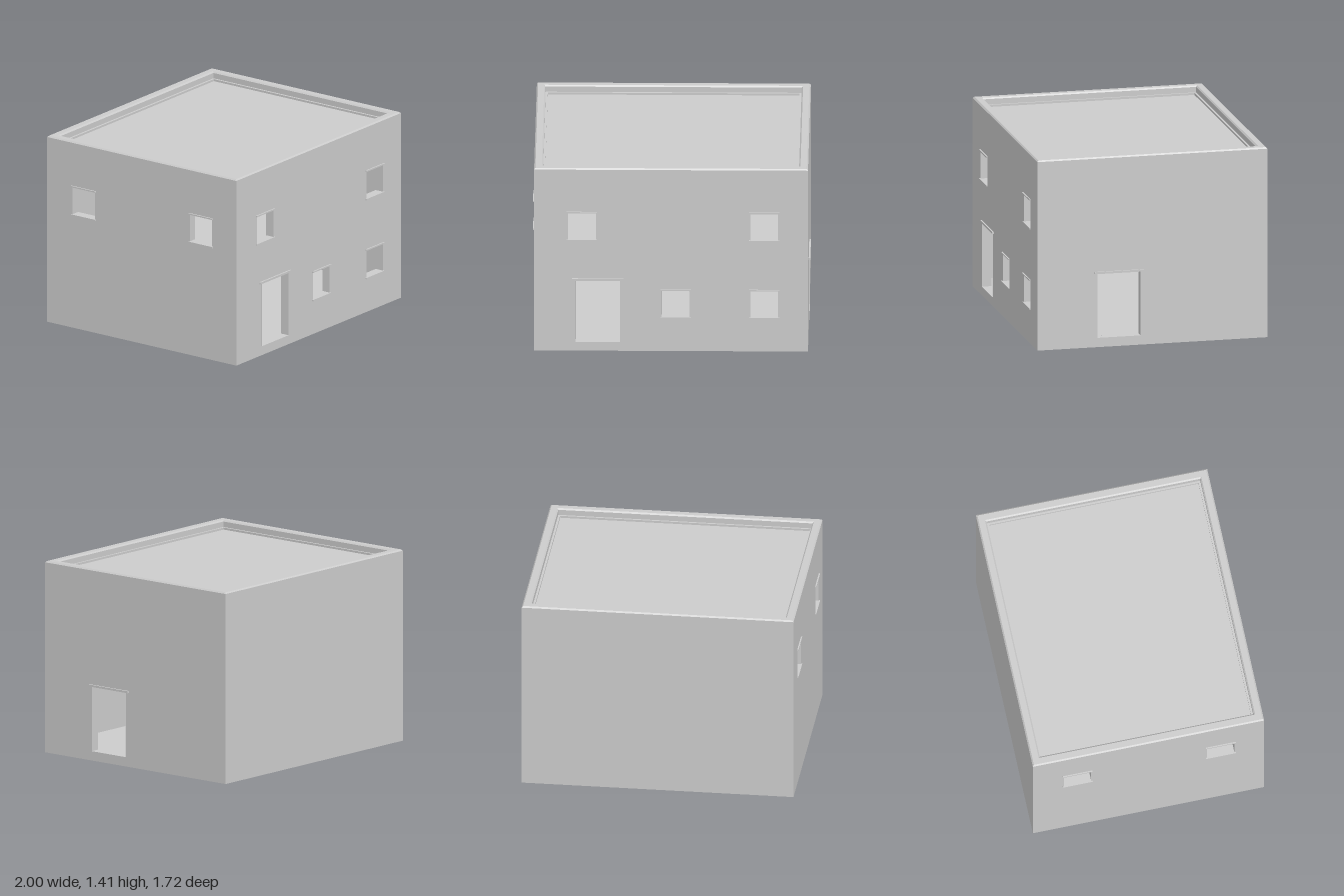
import * as THREE from 'three';

const material = new THREE.MeshStandardMaterial({ color: 0xcccccc, flatShading: true, side: THREE.DoubleSide });

const W = 1.975, D = 1.705, CX = -0.0025, CZ = -0.0075; // outer footprint and its centre
const T = 0.065;                                       // wall thickness
const FLOOR = 0.07, UPPER = 0.67, EAVES = 1.4;

function add(parent, name, geometry, x = 0, y = 0, z = 0) {
  const mesh = new THREE.Mesh(geometry, material);
  mesh.name = name;
  mesh.position.set(x, y, z);
  parent.add(mesh);
  return mesh;
}

function rectangle(Type, x0, x1, y0, y1) {
  return new Type([[x0, y0], [x1, y0], [x1, y1], [x0, y1]].map(p => new THREE.Vector2(...p)));
}

// One wall: outer and inner skins with holes, lined openings, lintels and sills.
// Local x runs along the wall, local +z points outdoors.
function makeWall(name, width, openings) {
  const wall = new THREE.Group();
  wall.name = name;
  const half = width / 2;
  const skin = (label, inset, bottom, top, z) => {
    const shape = rectangle(THREE.Shape, -half + inset, half - inset, bottom, top);
    for (const o of openings) shape.holes.push(rectangle(THREE.Path, o.u - o.w / 2, o.u + o.w / 2, o.y0, o.y1));
    add(wall, label, new THREE.ShapeGeometry(shape), 0, 0, z);
  };
  skin('outerSkin', 0, 0, EAVES, 0);
  skin('innerSkin', T, FLOOR - 0.001, 1.3, -T);

  for (const { u, w, y0, y1, door } of openings) {
    const h = y1 - y0, lip = door ? 0.005 : 0, depth = T + lip;
    for (const s of [-1, 1]) {
      add(wall, 'jamb', new THREE.PlaneGeometry(depth, h), u + s * w / 2, (y0 + y1) / 2, lip - depth / 2)
        .rotation.y = -s * Math.PI / 2;
      add(wall, 'reveal', new THREE.PlaneGeometry(w, depth), u, s > 0 ? y1 : y0, lip - depth / 2)
        .rotation.x = s * Math.PI / 2;
    }
    if (door) {
      add(wall, 'doorLintel', new THREE.BoxGeometry(w + 0.05, 0.015, 0.024), u, y1 + 0.0075, 0);
    } else {
      add(wall, 'windowLintel', new THREE.BoxGeometry(w + 0.02, 0.01, 0.02), u, y1 + 0.005, 0);
      add(wall, 'windowSill', new THREE.BoxGeometry(w + 0.02, 0.01, 0.02), u, y0 - 0.005, 0);
    }
  }
  return wall;
}

// Sweeps [inset, height] pairs around the rectangular footprint.
function rectangularLoft(profile) {
  const corners = [[-1, 1], [1, 1], [1, -1], [-1, -1]];
  const point = ([inset, y], [sx, sz]) => [sx * (W / 2 - inset), y, sz * (D / 2 - inset)];
  const positions = [];
  for (let i = 0; i < profile.length - 1; i++) {
    for (let k = 0; k < 4; k++) {
      const next = corners[(k + 1) % 4];
      const a = point(profile[i], corners[k]), b = point(profile[i], next);
      const c = point(profile[i + 1], next), d = point(profile[i + 1], corners[k]);
      positions.push(...a, ...b, ...c, ...a, ...c, ...d);
    }
  }
  const geometry = new THREE.BufferGeometry();
  geometry.setAttribute('position', new THREE.Float32BufferAttribute(positions, 3));
  geometry.computeVertexNormals();
  return geometry;
}

export function createModel() {
  const model = new THREE.Group();
  model.name = 'house';

  const win = (u, y0) => ({ u, w: 0.2, y0, y1: y0 + 0.205 });
  const doorway = (u, w) => ({ u, w, y0: FLOOR, y1: 0.545, door: true });
  const LOW = 0.262, HIGH = 0.86;

  // Walls
  const walls = [
    ['frontWall', W, 0, CX, CZ + D / 2, [
      doorway(-0.53 - CX, 0.32), win(0.03 - CX, LOW), win(0.67 - CX, LOW),
      win(-0.645 - CX, HIGH), win(0.67 - CX, HIGH)]],
    ['leftWall', D, Math.PI / 2, CX + W / 2, CZ, [doorway(CZ - 0.24, 0.32)]],
    ['backWall', W, Math.PI, CX, CZ - D / 2, []],
    ['rightWall', D, -Math.PI / 2, CX - W / 2, CZ, [win(-0.53 - CZ, HIGH), win(0.525 - CZ, HIGH)]],
  ];
  for (const [name, width, angle, x, z, openings] of walls) {
    const wall = makeWall(name, width, openings);
    wall.rotation.y = angle;
    wall.position.set(x, 0, z);
    model.add(wall);
  }

  // Parapet with bevelled rim and a small inner ledge
  add(model, 'parapet', rectangularLoft([
    [0, EAVES], [0.01, 1.41], [0.055, 1.41], [0.065, 1.4],
    [0.065, 1.36], [0.08, 1.36], [0.08, 1.345],
  ]), CX, 0, CZ);

  // Horizontal surfaces
  const level = (name, inset, y, up) => {
    add(model, name, new THREE.PlaneGeometry(W - 2 * inset, D - 2 * inset), CX, y, CZ)
      .rotation.x = up ? -Math.PI / 2 : Math.PI / 2;
  };
  level('flatRoof', 0.08, 1.345, true);
  level('ceiling', T, 1.3, false);
  level('groundFloor', T, FLOOR, true);

  // Upper floor, left open above the stairs
  const x0 = CX - W / 2 + T, x1 = CX + W / 2 - T;
  const z0 = CZ - D / 2 + T, z1 = CZ + D / 2 - T;
  const stairStart = 0.143, stairEnd = -0.6, stairFront = -0.485;
  const slab = new THREE.Shape([
    [x0, -z1], [x1, -z1], [x1, -z0], [stairStart, -z0],
    [stairStart, -stairFront], [x0, -stairFront],
  ].map(p => new THREE.Vector2(...p)));
  add(model, 'upperFloor', new THREE.ExtrudeGeometry(slab, { depth: 0.05, bevelEnabled: false }), 0, UPPER - 0.05, 0)
    .rotation.x = -Math.PI / 2;

  // Stairs along the back wall, ending in a landing
  const steps = 9, run = (stairStart - stairEnd) / steps, rise = (UPPER - FLOOR) / steps;
  const side = new THREE.Shape();
  side.moveTo(stairStart, FLOOR);
  for (let i = 0; i < steps; i++) {
    side.lineTo(stairStart - i * run, FLOOR + (i + 1) * rise);
    side.lineTo(i === steps - 1 ? x0 : stairStart - (i + 1) * run, FLOOR + (i + 1) * rise);
  }
  side.lineTo(x0, FLOOR);
  add(model, 'stairs', new THREE.ExtrudeGeometry(side, { depth: stairFront - z0, bevelEnabled: false }), 0, 0, z0);

  return model;
}
